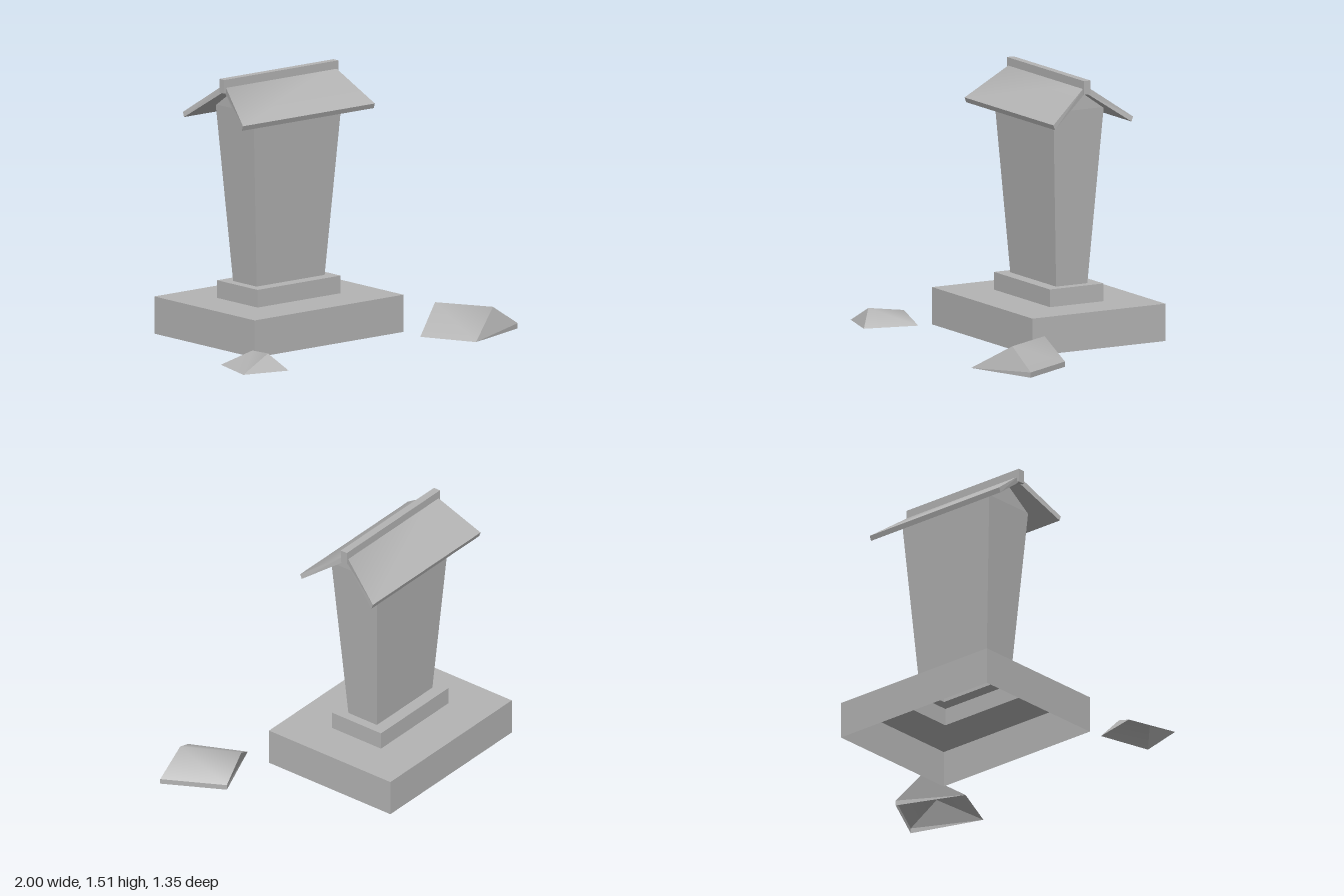
import * as THREE from 'three';
import { mergeVertices } from 'three/addons/utils/BufferGeometryUtils.js';

const stone = new THREE.MeshStandardMaterial({ color: 0xb4b4b4, side: THREE.DoubleSide });
stone.name = 'stone';

// Mesh from convex polygons; smooth shares normals between touching polygons
function faceMesh(name, faces, smooth = false) {
  const pos = [];
  for (const f of faces)
    for (let i = 1; i < f.length - 1; i++) pos.push(...f[0], ...f[i], ...f[i + 1]);
  let geo = new THREE.BufferGeometry();
  geo.setAttribute('position', new THREE.Float32BufferAttribute(pos, 3));
  if (smooth) geo = mergeVertices(geo);
  geo.computeVertexNormals();
  const mesh = new THREE.Mesh(geo, stone);
  mesh.name = name;
  return mesh;
}

// Walls between stacked rectangles given as [y, halfWidth, halfDepth]
function loftFaces(levels) {
  const rings = levels.map(([y, w, d]) => [[w, y, d], [w, y, -d], [-w, y, -d], [-w, y, d]]);
  const faces = [];
  for (let k = 0; k < rings.length - 1; k++)
    for (let i = 0; i < 4; i++) {
      const j = (i + 1) % 4;
      faces.push([rings[k][i], rings[k][j], rings[k + 1][j], rings[k + 1][i]]);
    }
  return faces;
}

// Two sloping slabs meeting at the ridge, flared towards the eaves
function makeRoof() {
  const group = new THREE.Group();
  group.name = 'roof';
  const R = 0.4, E = 0.485;
  const top = [], rest = [];
  for (const s of [1, -1]) {
    // points on the side x = t, for the slope facing z = s
    const pt = (t) => ({
      ridge: [t * R, 1.475, 0], under: [t * R, 1.435, 0],
      eave: [t * E, 1.288, s * 0.26], lip: [t * E, 1.26, s * 0.25],
    });
    const a = pt(-s), b = pt(s);
    top.push([a.eave, b.eave, b.ridge, a.ridge]);
    rest.push([a.lip, b.lip, b.eave, a.eave]);
    rest.push([a.under, b.under, b.lip, a.lip]);
    rest.push([b.lip, b.under, b.ridge, b.eave]);
    rest.push([a.eave, a.ridge, a.under, a.lip]);
  }
  group.add(faceMesh('roofSlopes', top, true), faceMesh('roofEdges', rest));
  return group;
}

// Wedge-shaped rock, open below: ground corners [x, z], ridge ends [x, y, z]
function makeRock(name, corners, e, f, lip) {
  const group = new THREE.Group();
  group.name = name;
  const [a, b0, c0, d] = corners.map(([x, z]) => [x, 0, z]);
  const b = [b0[0], lip, b0[2]], c = [c0[0], lip, c0[2]];
  group.add(faceMesh(name + 'Slopes', [[d, f, e, a], [f, c, b, e]], true));
  const ends = [[a, e, b], [d, c, f]];
  if (lip > 0) ends.push([a, b, b0], [d, c0, c], [c0, b0, b, c]);
  group.add(faceMesh(name + 'Ends', ends));
  return group;
}

export function createModel() {
  const model = new THREE.Group();
  model.name = 'stoneMonument';

  const monument = new THREE.Group();
  monument.name = 'monument';
  monument.position.set(-0.0975, 0, -0.239);
  model.add(monument);

  // Hollow stepped base
  monument.add(faceMesh('plinth', loftFaces([[0, 0.547, 0.434], [0.213, 0.547, 0.434], [0.213, 0.305, 0.175]])));
  monument.add(faceMesh('step', loftFaces([[0.213, 0.305, 0.175], [0.314, 0.305, 0.175], [0.314, 0.25, 0.102]])));

  // Pillar widening upwards, with gables under the roof
  const pillar = loftFaces([[0.314, 0.25, 0.102], [1.325, 0.325, 0.164]]);
  for (const s of [1, -1])
    pillar.push([[s * 0.325, 1.325, s * 0.164], [s * 0.325, 1.325, -s * 0.164], [s * 0.325, 1.436, 0]]);
  monument.add(faceMesh('pillar', pillar));

  monument.add(makeRoof());

  // Ridge beam
  const ridge = new THREE.Mesh(new THREE.BoxGeometry(0.84, 0.078, 0.043), stone);
  ridge.name = 'ridgeBeam';
  ridge.position.y = 1.467;
  monument.add(ridge);

  // Rocks on the ground
  model.add(makeRock('smallRock',
    [[-0.915, 0.22], [-0.653, 0.28], [-0.73, 0.59], [-1, 0.515]],
    [-0.76, 0.075, 0.311], [-0.815, 0.097, 0.51], 0));
  model.add(makeRock('largeRock',
    [[0.433, 0.36], [0.818, 0.204], [1, 0.536], [0.577, 0.673]],
    [0.648, 0.15, 0.235], [0.812, 0.15, 0.543], 0.03));

  return model;
}
